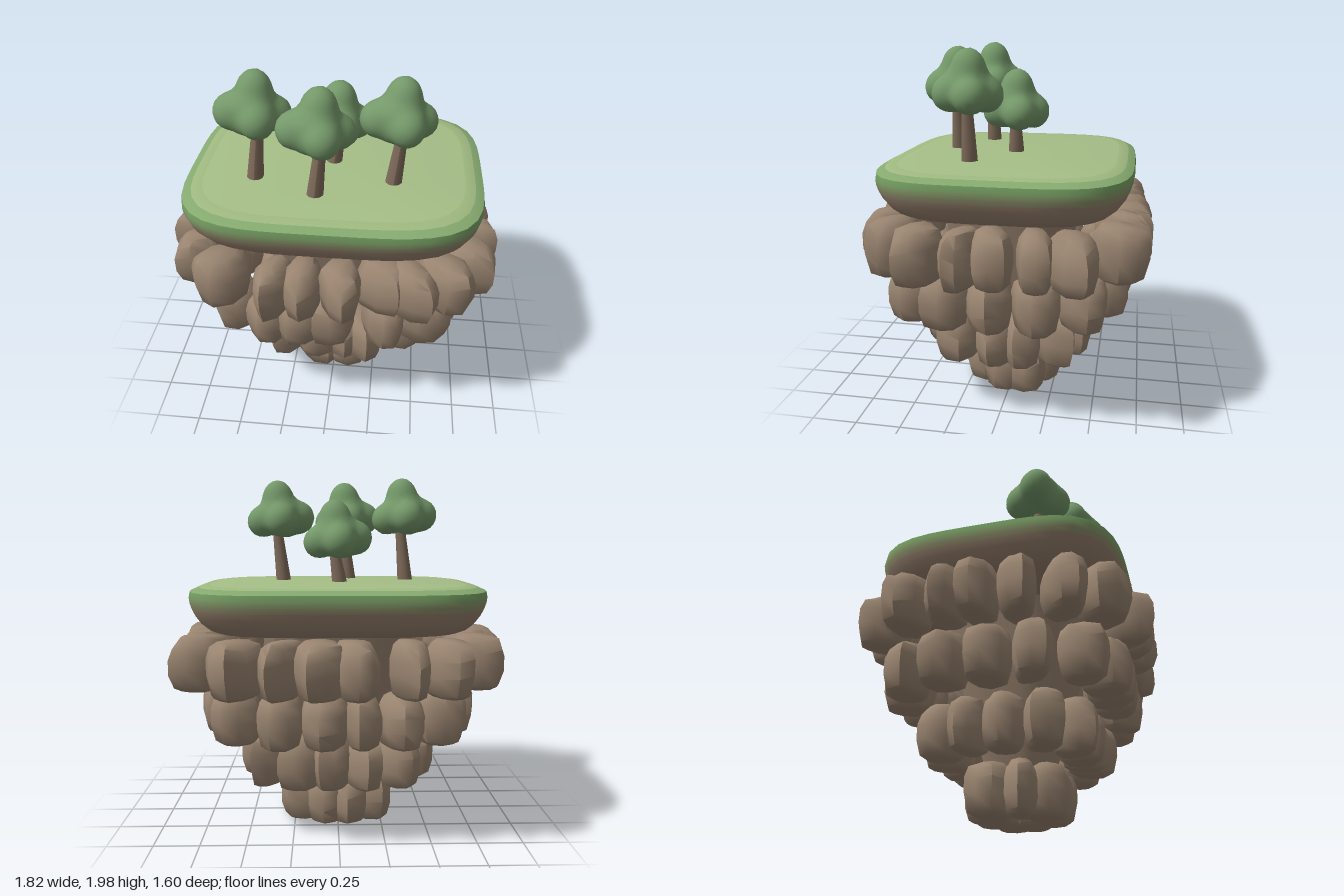
import * as THREE from 'three';
import { toCreasedNormals } from 'three/addons/utils/BufferGeometryUtils.js';

const mat = (color) => new THREE.MeshStandardMaterial({ color });

// Small seeded random generator
let seed = 11;
const rand = (lo = 0, hi = 1) => {
  seed = (seed * 16807) % 2147483647;
  return lo + (hi - lo) * (seed / 2147483647);
};

// Point on a rounded rectangle (superellipse) with half sizes a, b
function rounded(angle, a, b, n = 4) {
  const c = Math.cos(angle), s = Math.sin(angle);
  const r = (Math.abs(c / a) ** n + Math.abs(s / b) ** n) ** (-1 / n);
  return [r * c, r * s];
}

// Capped loft through rounded-rectangle sections [y, halfX, halfZ], top to bottom.
// Every band gets its own group so it can have its own colour.
function loft(sections, segments, crease) {
  const pos = [], index = [], geo = new THREE.BufferGeometry();
  sections.forEach(([y, a, b]) => {
    for (let j = 0; j < segments; j++) {
      const [x, z] = rounded((j / segments) * Math.PI * 2, a, b);
      pos.push(x, y, z);
    }
  });
  const topCentre = pos.length / 3, last = (sections.length - 1) * segments;
  pos.push(0, sections[0][0], 0, 0, sections[sections.length - 1][0], 0);
  const band = (fill, material) => {
    const start = index.length;
    for (let j = 0; j < segments; j++) fill(j, (j + 1) % segments);
    geo.addGroup(start, index.length - start, material);
  };
  band((j, k) => index.push(topCentre, k, j), 0);
  for (let i = 0; i < sections.length - 1; i++) {
    const u = i * segments, d = u + segments;
    band((j, k) => index.push(u + j, u + k, d + j, u + k, d + k, d + j), i + 1);
  }
  band((j, k) => index.push(topCentre + 1, last + j, last + k), sections.length);
  geo.setAttribute('position', new THREE.Float32BufferAttribute(pos, 3));
  geo.setIndex(index);
  return toCreasedNormals(geo, crease);
}

// Irregular upright boulder with rounded ends, y from 0 to height
function boulder(width, depth, height) {
  const profile = [[0, 0], [0.6, 0], [0.84, 0.07], [1, 0.38], [1, 0.66], [0.86, 0.86], [0.58, 0.98], [0, 1]]
    .map(([r, y]) => new THREE.Vector2(r, y));
  const sides = 8;
  const geo = new THREE.LatheGeometry(profile, sides, rand(0, 6));
  const bulge = Array.from({ length: sides }, () => rand(0.9, 1.14));
  const lift = Array.from({ length: sides }, () => rand(-0.09, 0.09));
  const p = geo.attributes.position;
  for (let i = 0; i < p.count; i++) {
    const row = i % profile.length, side = Math.floor(i / profile.length) % sides;
    const middle = row > 2 && row < 6 ? 1 : 0;
    p.setXYZ(i, p.getX(i) * bulge[side] * width,
      (p.getY(i) + lift[side] * middle) * height, p.getZ(i) * bulge[side] * depth);
  }
  geo.deleteAttribute('uv');
  return toCreasedNormals(geo, 1.0);
}

// Tree crown: soft blend of lobes [x, y, z, radius, vertical stretch] around (0, -0.2, 0)
function crownGeometry(lobes) {
  const geo = new THREE.IcosahedronGeometry(1, 7);
  const p = geo.attributes.position, dir = new THREE.Vector3();
  const inside = (r) => lobes.reduce((sum, [x, y, z, radius, stretch]) => {
    const d = Math.hypot(dir.x * r - x, (dir.y * r - 0.2 - y) / stretch, dir.z * r - z);
    return sum + Math.exp(70 * (radius - d));
  }, 0) > 1;
  for (let i = 0; i < p.count; i++) {
    dir.fromBufferAttribute(p, i).normalize();
    let r = 0.3;
    while (r > 0.05 && !inside(r)) r -= 0.002;
    p.setXYZ(i, dir.x * r, dir.y * r - 0.2, dir.z * r);
  }
  geo.deleteAttribute('uv');
  return toCreasedNormals(geo, Math.PI);
}

export function createModel() {
  seed = 11;
  const island = new THREE.Group();
  island.name = 'floatingIsland';
  const rock = mat(0x998470), bark = mat(0x7f6b5a), leaf = mat(0x75996a);

  // Ground slab: grass on top fading into soil
  const slabSections = [
    [1.39, 0.7, 0.58], [1.383, 0.755, 0.635], [1.362, 0.8, 0.675], [1.33, 0.806, 0.68],
    [1.3, 0.802, 0.676], [1.27, 0.793, 0.667], [1.23, 0.775, 0.65], [1.19, 0.748, 0.623],
    [1.16, 0.715, 0.59], [1.14, 0.67, 0.55], [1.13, 0.6, 0.49],
  ];
  const soil = new THREE.Color(0x96806d), rim = new THREE.Color(0x76a063);
  const slabMats = [mat(0xa6bf88), mat(0xa0ba81), mat(0x86aa70)];
  for (let i = 3; i <= slabSections.length; i++) {
    const m = mat(0xffffff);
    m.color.copy(rim).lerp(soil, Math.min(1, (i - 3) / 3));
    slabMats.push(m);
  }
  const ground = new THREE.Mesh(loft(slabSections, 56, 0.9), slabMats);
  ground.name = 'ground';
  island.add(ground);

  // Inner core behind the boulders
  const coreSections = [
    [1.15, 0.44, 0.4], [0.85, 0.37, 0.33], [0.57, 0.3, 0.26], [0.28, 0.2, 0.17], [0.04, 0.13, 0.11],
  ];
  const coreGeo = loft(coreSections, 24, 0.6);
  coreGeo.clearGroups();
  const core = new THREE.Mesh(coreGeo, rock);
  core.name = 'core';
  island.add(core);

  // Places a boulder with its outer face near (x, z)
  function addBoulder(layer, x, z, y, width, depth, height, twist) {
    const length = Math.hypot(x, z), k = (length - depth) / length;
    const mesh = new THREE.Mesh(boulder(width, depth, height), rock);
    mesh.name = 'boulder';
    mesh.position.set(x * k, y, z * k);
    mesh.rotation.y = Math.atan2(x, z) + twist;
    layer.add(mesh);
  }

  // Top layer: outer point x, z and half width of each boulder
  const topLayer = new THREE.Group();
  topLayer.name = 'boulderLayer1';
  [
    [-0.66, -0.71, 0.11], [-0.43, -0.75, 0.09], [-0.1, -0.8, 0.1], [0.13, -0.79, 0.13],
    [0.35, -0.78, 0.08], [0.63, -0.73, 0.12], [0.87, -0.48, 0.12], [0.88, -0.27, 0.09],
    [0.89, -0.01, 0.11], [0.92, 0.17, 0.08], [0.88, 0.43, 0.12], [0.74, 0.63, 0.11],
    [0.53, 0.73, 0.11], [0.36, 0.69, 0.12], [0.1, 0.78, 0.105], [-0.14, 0.78, 0.1],
    [-0.33, 0.79, 0.085], [-0.67, 0.69, 0.13], [-0.83, 0.49, 0.1], [-0.89, 0.23, 0.1],
    [-0.92, 0, 0.11], [-0.91, -0.21, 0.09], [-0.87, -0.47, 0.12],
  ].forEach(([x, z, w]) => addBoulder(topLayer, x, z, 0.845, w, 0.16, 0.295, rand(-0.25, 0.25)));
  island.add(topLayer);

  // Lower layers: [base y, height, halfX, halfZ, half width, directions in degrees from +x to +z]
  [
    [0.565, 0.295, 0.76, 0.675, 0.125,
      [2, 23, 41, 60, 88, 106, 120, 139, 160, 180, 200, 221, 239, 258, 278, 300, 320, 341]],
    [0.28, 0.295, 0.56, 0.49, 0.108,
      [4, 32, 63, 80, 103, 126, 150, 176, 200, 225, 250, 275, 300, 324, 346]],
    [0.005, 0.29, 0.33, 0.28, 0.125, [8, 60, 117, 165, 208, 250, 293, 335]],
  ].forEach(([y, height, a, b, width, directions], n) => {
    const layer = new THREE.Group();
    layer.name = `boulderLayer${n + 2}`;
    directions.forEach((degrees, i) => {
      const [x, z] = rounded(THREE.MathUtils.degToRad(degrees), a, b, 3.5);
      const w = width * (i % 5 === 3 ? 0.75 : rand(0.92, 1.08));
      addBoulder(layer, x, z, y, w, 0.14, height - rand(0, 0.015), rand(-0.25, 0.25));
    });
    island.add(layer);
  });

  // Trees: all share one crown shape, measured from its top
  const crownGeo = crownGeometry([
    [0.015, -0.11, -0.01, 0.088, 1.15], [0, -0.2, 0, 0.125, 0.95],
    [-0.112, -0.225, 0.015, 0.09, 1.05], [-0.01, -0.245, -0.098, 0.09, 1.05],
    [0.105, -0.25, -0.035, 0.09, 1], [0.04, -0.24, 0.092, 0.088, 1.05],
    [-0.03, -0.265, 0.03, 0.078, 0.95],
  ]);
  [[-0.405, 0.215, 2.0], [-0.065, 0.355, 1.985], [0.335, 0.195, 1.985], [0, 0, 1.865]]
    .forEach(([x, z, top]) => {
      const tree = new THREE.Group();
      tree.name = 'tree';

      // Leaning, tapered trunk
      const height = top - 0.2 - 1.375;
      const trunkGeo = new THREE.CylinderGeometry(0.024, 0.046, height, 10, 4);
      const p = trunkGeo.attributes.position;
      for (let i = 0; i < p.count; i++) {
        const t = p.getY(i) / height + 0.5;
        p.setX(i, p.getX(i) - 0.015 + 0.045 * t);
      }
      trunkGeo.computeVertexNormals();
      const trunk = new THREE.Mesh(trunkGeo, bark);
      trunk.name = 'trunk';
      trunk.position.set(x, 1.375 + height / 2, z);
      tree.add(trunk);

      const crown = new THREE.Mesh(crownGeo, leaf);
      crown.name = 'crown';
      crown.position.set(x, top, z);
      tree.add(crown);
      island.add(tree);
    });

  return island;
}
